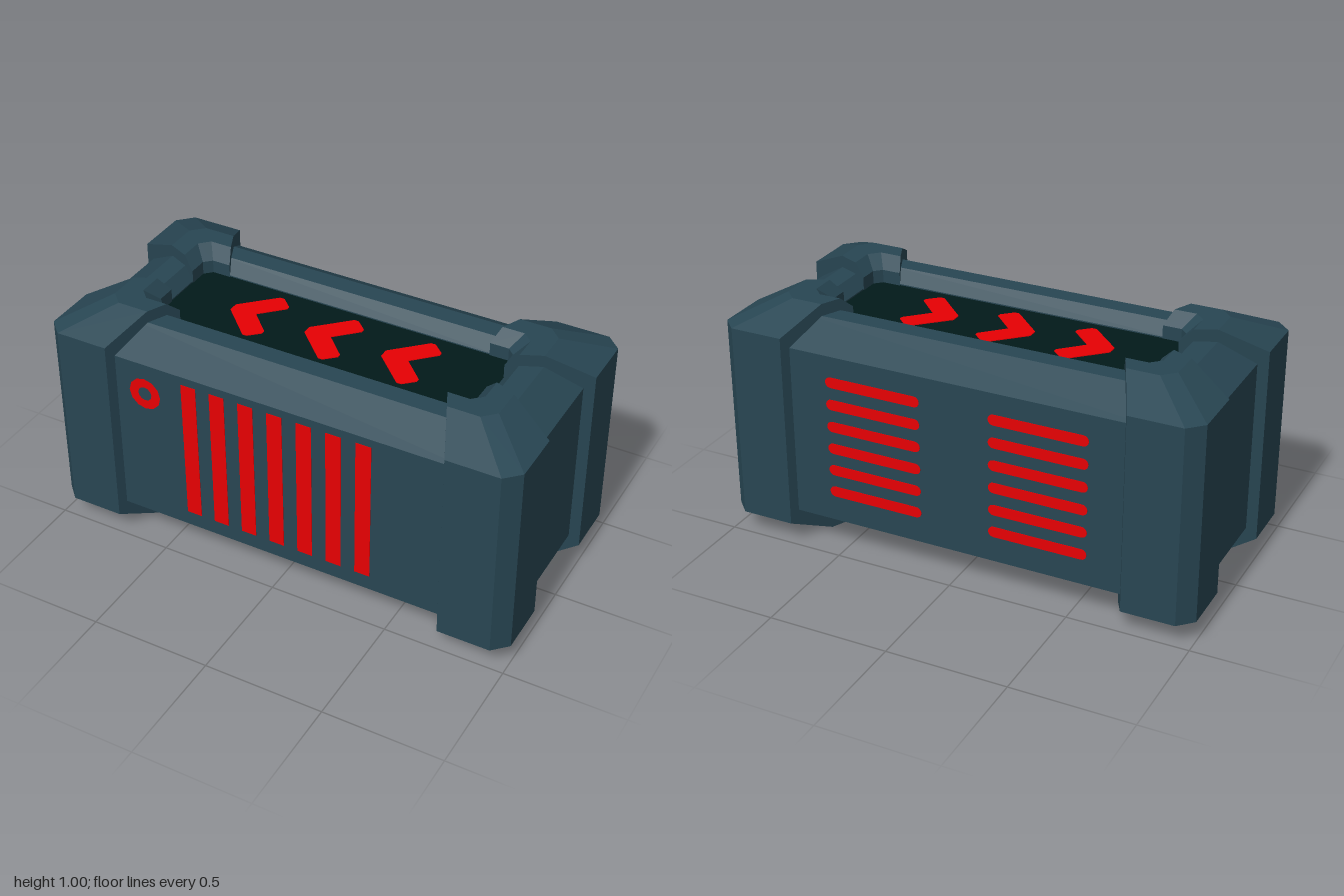
import * as THREE from 'three';

const shell = new THREE.MeshStandardMaterial({ color: 0x284653 });
shell.name = 'slate shell';
const dark = new THREE.MeshStandardMaterial({ color: 0x021a1a });
dark.name = 'dark panel';
const red = new THREE.MeshStandardMaterial({ color: 0xe90003 });
red.name = 'red paint';

// Flat-shaded surface between rows of points.
function surface(rows, flip = false) {
  const p = [];
  const tri = (a, b, c) => p.push(...a, ...(flip ? c : b), ...(flip ? b : c));
  for (let i = 0; i + 1 < rows.length; i++) {
    for (let j = 0; j + 1 < rows[i].length; j++) {
      const a = rows[i][j], b = rows[i][j + 1], c = rows[i + 1][j + 1], d = rows[i + 1][j];
      tri(a, d, c);
      tri(a, c, b);
    }
  }
  const g = new THREE.BufferGeometry();
  g.setAttribute('position', new THREE.Float32BufferAttribute(p, 3));
  g.computeVertexNormals();
  return g;
}

// Add the lower half of a profile, mirrored about y = 0.5.
const mirrored = (rings) => [...rings, ...rings.map((r) => ({ ...r, y: 1 - r.y })).reverse()];

// Ring: half width, half depth, corner cut, height.
const ring = (hx, hz, c, y) => ({ hx, hz, c, y });

const bodyProfile = mirrored([
  ring(0.69, 0.19, 0.03, 0.885),
  ring(0.69, 0.19, 0.03, 0.90),
  ring(0.735, 0.24, 0.04, 0.95),
  ring(0.82, 0.32, 0.05, 0.95),
  ring(0.96, 0.463, 0.06, 0.86),
]);
const clampProfile = mirrored([
  ring(0.686, 0.186, 0.03, 0.885),
  ring(0.686, 0.186, 0.03, 0.95),
  ring(0.735, 0.24, 0.04, 1.00),
  ring(0.82, 0.32, 0.05, 1.00),
  ring(1.00, 0.50, 0.06, 0.91),
]);

function bodyGeometry() {
  return surface(bodyProfile.map(({ hx, hz, c, y }) => [
    [c - hx, y, hz], [hx - c, y, hz], [hx, y, hz - c], [hx, y, c - hz],
    [hx - c, y, -hz], [c - hx, y, -hz], [-hx, y, c - hz], [-hx, y, hz - c], [c - hx, y, hz],
  ]));
}

// Corner clamp wrapping an upright edge and both recess rims,
// cut off by two upright planes that splay outwards.
const cutX = (z) => 0.494 + 0.452 * z;
const cutZ = (x) => 0.452 * x - 0.232;
function clampGeometry(sx, sz) {
  const rows = clampProfile.map((r, i) => {
    const b = bodyProfile[i];
    return [
      [cutX(b.hz), b.y, b.hz], [cutX(r.hz), r.y, r.hz], [r.hx - r.c, r.y, r.hz],
      [r.hx, r.y, r.hz - r.c], [r.hx, r.y, cutZ(r.hx)], [b.hx, b.y, cutZ(b.hx)],
    ].map(([x, y, z]) => [x * sx, y, z * sz]);
  });
  return surface(rows, sx * sz < 0);
}

// Flat bar with rounded ends.
function barGeometry(length, height, depth) {
  const r = height / 2, h = length / 2 - r;
  const s = new THREE.Shape();
  s.absarc(h, 0, r, -Math.PI / 2, Math.PI / 2);
  s.absarc(-h, 0, r, Math.PI / 2, Math.PI * 1.5);
  return new THREE.ExtrudeGeometry(s, { depth, bevelEnabled: false, curveSegments: 4 });
}

export function createModel() {
  const model = new THREE.Group();
  model.name = 'crate';
  const add = (name, geometry, material, x = 0, y = 0, z = 0) => {
    const m = new THREE.Mesh(geometry, material);
    m.name = name;
    m.position.set(x, y, z);
    model.add(m);
  };

  add('body', bodyGeometry(), shell);
  for (const sx of [1, -1]) {
    for (const sz of [1, -1]) {
      add(`${sz > 0 ? 'front' : 'back'}${sx > 0 ? 'Left' : 'Right'}Clamp`, clampGeometry(sx, sz), shell);
    }
  }

  // Recessed panels with chevrons, above and below
  const chevron = new THREE.Shape([
    [0, 0.02], [0, -0.02], [0.13, -0.147], [0.15, -0.147], [0.195, -0.105], [0.195, -0.09],
    [0.105, 0], [0.195, 0.09], [0.195, 0.105], [0.15, 0.147], [0.13, 0.147],
  ].map(([x, y]) => new THREE.Vector2(x, y)));
  const chevronGeometry = new THREE.ExtrudeGeometry(chevron, { depth: 0.006, bevelEnabled: false });
  chevronGeometry.rotateX(-Math.PI / 2);
  const panelGeometry = new THREE.BoxGeometry(1.40, 0.015, 0.40);
  for (const top of [true, false]) {
    const side = top ? 'top' : 'bottom';
    add(`${side}Panel`, panelGeometry, dark, 0, top ? 0.8875 : 0.1125, 0);
    for (const x of [-0.45, -0.115, 0.22]) {
      add(`${side}Chevron`, chevronGeometry, red, x, top ? 0.892 : 0.102, 0);
    }
  }

  // Front upright stripes and ring mark
  const stripe = new THREE.BoxGeometry(0.065, 0.62, 0.006);
  for (let i = 0; i < 7; i++) {
    add('frontStripe', stripe, red, -0.373 + i * 0.1255, 0.515, 0.462);
  }
  add('ringMark', new THREE.RingGeometry(0.03, 0.07, 12), red, -0.573, 0.725, 0.465);

  // Back vent bars in two columns
  const bar = barGeometry(0.41, 0.045, 0.006);
  for (const x of [0.342, -0.358]) {
    for (let i = 0; i < 6; i++) add('backBar', bar, red, x, 0.75 - i * 0.096, -0.465);
  }
  return model;
}
